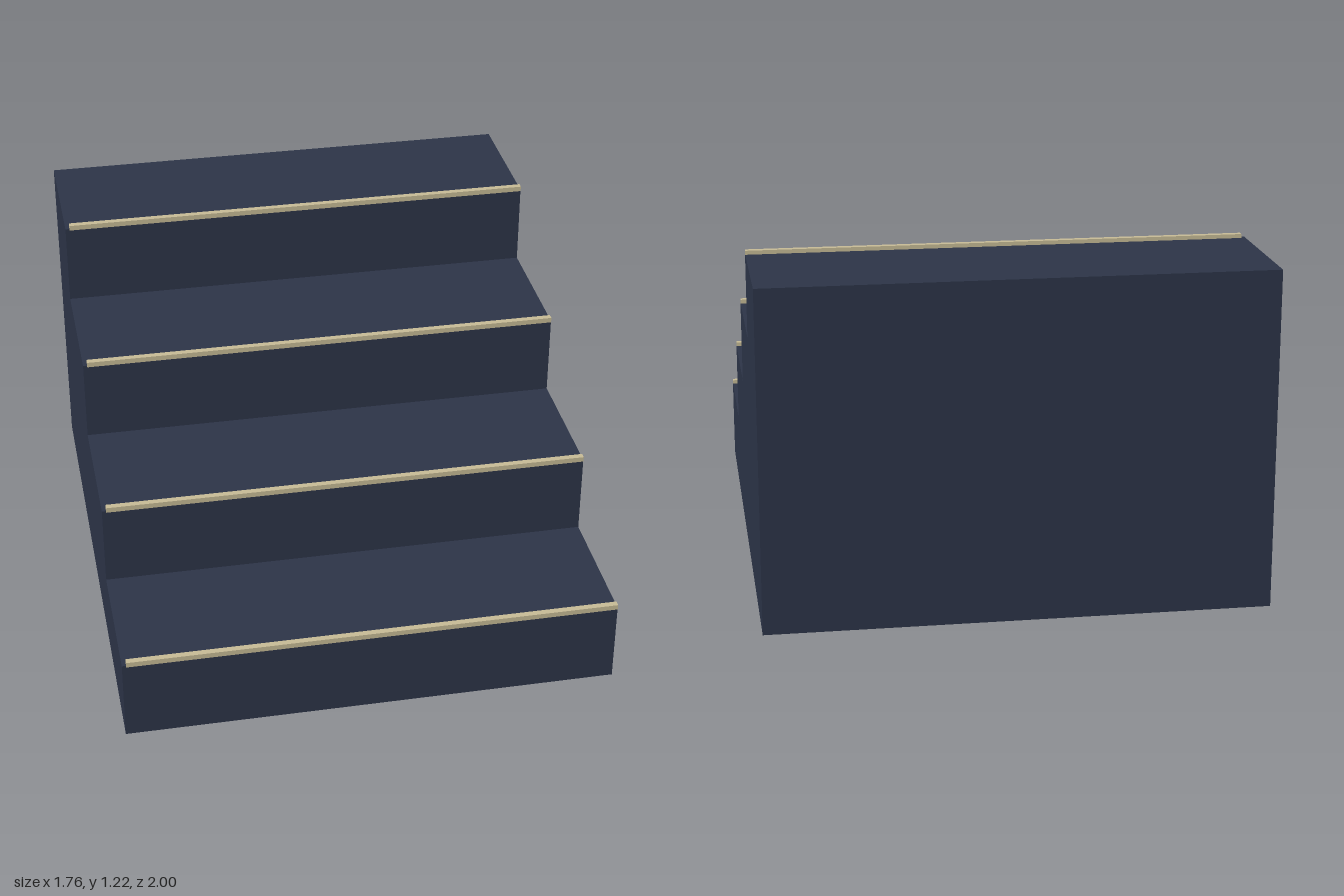
import * as THREE from 'three';

export function createModel() {
  const navy = new THREE.MeshStandardMaterial({ color: 0x2d3549 });
  navy.name = 'navy carpet';
  const sand = new THREE.MeshStandardMaterial({ color: 0xcabe98 });
  sand.name = 'sand nosing';

  const root = new THREE.Group();
  root.name = 'staircase';

  // Box given by its minimum and maximum corners
  const box = (name, material, [x0, y0, z0], [x1, y1, z1], parent) => {
    const mesh = new THREE.Mesh(new THREE.BoxGeometry(x1 - x0, y1 - y0, z1 - z0), material);
    mesh.position.set((x0 + x1) / 2, (y0 + y1) / 2, (z0 + z1) / 2);
    mesh.name = name;
    parent.add(mesh);
  };

  const count = 4, rise = 0.3, run = 0.499, front = 0.997;
  const left = 0.88, right = -0.88, inner = -0.865;

  for (let i = 0; i < count; i++) {
    const step = new THREE.Group();
    step.name = `step${i + 1}`;
    root.add(step);
    const top = rise * (i + 1) + 0.002;
    const z1 = front - run * i;
    const z0 = i === count - 1 ? -1 : z1 - run;

    // Solid block reaching the floor, with a thin cheek panel on its right side
    box('stepBlock', navy, [inner, 0, z0], [left, top, z1], step);
    box('sidePanel', navy, [right, 0, z0], [inner, top, z1], step);

    // Square nosing strip along the front edge of the tread
    box('nosing', sand, [inner, top - 0.005, z1 - 0.019], [left, top + 0.014, z1 + 0.003], step);
  }
  return root;
}
